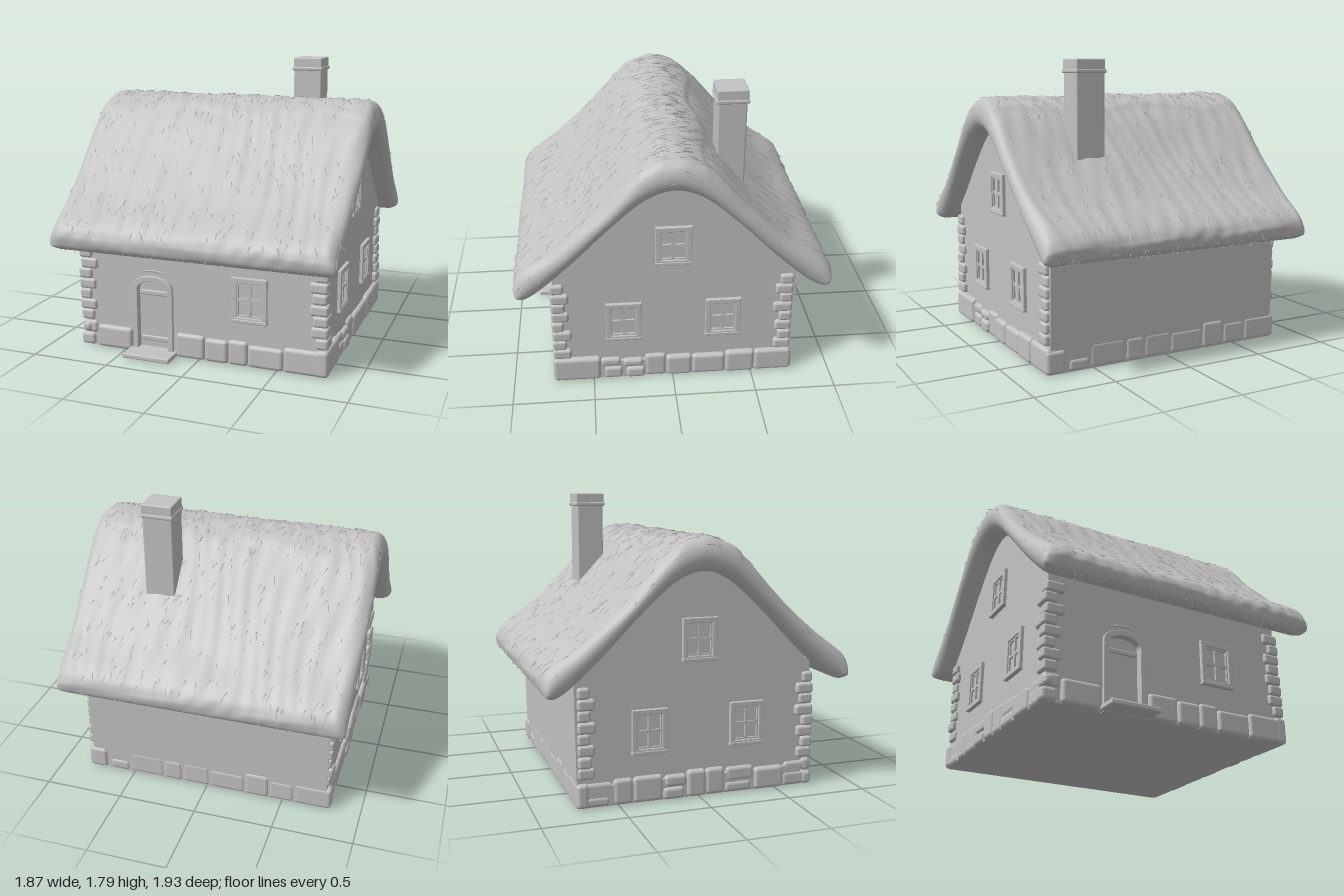
import * as THREE from 'three';
import { mergeGeometries } from 'three/addons/utils/BufferGeometryUtils.js';
import { RoundedBoxGeometry } from 'three/addons/geometries/RoundedBoxGeometry.js';

const clay = new THREE.MeshStandardMaterial({ color: 0xc2c2c2 });
clay.name = 'plain clay grey';

let seed = 7;
const rand = (a = 0, b = 1) => {
  seed = (seed * 16807) % 2147483647;
  return a + (b - a) * (seed / 2147483647);
};

function add(parent, name, geometry, x = 0, y = 0, z = 0) {
  const mesh = new THREE.Mesh(geometry, clay);
  mesh.name = name;
  mesh.position.set(x, y, z);
  parent.add(mesh);
  return mesh;
}

// Box given by its limits, with softened edges
function block(x0, x1, y0, y1, z0, z1, r = 0.008) {
  const g = new RoundedBoxGeometry(x1 - x0, y1 - y0, z1 - z0, 2, r);
  return g.translate((x0 + x1) / 2, (y0 + y1) / 2, (z0 + z1) / 2);
}

const extrude = (shape, depth, bevel = 0) => new THREE.ExtrudeGeometry(shape, {
  depth, curveSegments: 12, bevelEnabled: bevel > 0, bevelSize: bevel, bevelThickness: bevel, bevelSegments: 2,
});

const rect = (x0, x1, y0, y1, Type = THREE.Shape) => new Type([
  [x0, y0], [x1, y0], [x1, y1], [x0, y1]].map(([x, y]) => new THREE.Vector2(x, y)));

// ---- Thatch: a slab between an upper and a lower curve, both running from the front eave to the back eave
const overRidge = (half, ridge) => new THREE.CatmullRomCurve3([
  ...half.map(([z, y]) => new THREE.Vector3(0, y, z)),
  new THREE.Vector3(0, ridge, 0),
  ...half.slice().reverse().map(([z, y]) => new THREE.Vector3(0, y, -z)),
]);
const upper = overRidge([[0.962, 0.73], [0.925, 0.815], [0.7, 0.985], [0.46, 1.205], [0.23, 1.45], [0.11, 1.525]], 1.548);
const lower = overRidge([[0.915, 0.66], [0.84, 0.69], [0.62, 0.88], [0.39, 1.115], [0.2, 1.285], [0.1, 1.34]], 1.36);

// Point on the thatch; h runs from -1 (underside) to 1 (top)
function roofPoint(u, x, h) {
  const top = upper.getPoint(u), t = upper.getTangent(u);
  const n = new THREE.Vector3(0, -t.z, t.y);
  const d = Math.min(u, 1 - u);
  const round = Math.sqrt(Math.max(0, 1 - Math.max(0, 1 - d / 0.035) ** 2));
  const p = lower.getPoint(u).lerp(top, 0.5 + 0.5 * h * round);
  if (h > 0) {
    const cap = 0.19 + 0.03 * Math.sin(x * 7 + top.z * 2);
    const bump = 0.01 * (1 - THREE.MathUtils.smoothstep(Math.abs(top.z), cap, cap + 0.03))
      + 0.0025 * Math.sin(x * 61 + 3 * Math.sin(u * 17 + x * 5)) + 0.002 * Math.sin(x * 37 + u * 9)
      + 0.003 * Math.sin(x * 9 + 2 * Math.sin(u * 29));
    p.addScaledVector(n, bump * h * round);
  }
  p.x = x * (0.97 + 0.03 * round) * (0.982 + 0.024 * THREE.MathUtils.smoothstep(p.y, 0.7, 1.4));
  return { p, t, n };
}

function thatchGeometry() {
  const section = [], X = 0.92, r = 0.075, N = 70, C = 12;
  for (let i = 0; i <= N; i++) section.push([(X - r) * (2 * i / N - 1), 1]);
  for (let i = 1; i < C; i++) section.push([X - r + r * Math.sin(Math.PI * i / C), Math.cos(Math.PI * i / C)]);
  for (let i = 0; i <= N; i++) section.push([(X - r) * (1 - 2 * i / N), -1]);
  for (let i = 1; i < C; i++) section.push([-X + r - r * Math.sin(Math.PI * i / C), -Math.cos(Math.PI * i / C)]);
  const rows = 120, cols = section.length, pos = [], index = [];
  for (let i = 0; i <= rows; i++) {
    const u = 0.5 - 0.5 * Math.cos(Math.PI * i / rows);
    for (const [x, h] of section) pos.push(...roofPoint(u, x, h).p.toArray());
  }
  for (let i = 0; i < rows; i++) for (let j = 0; j < cols; j++) {
    const k = (j + 1) % cols, a = i * cols + j, b = i * cols + k;
    index.push(a, b, a + cols, b, b + cols, a + cols);
  }
  const g = new THREE.BufferGeometry();
  g.setAttribute('position', new THREE.Float32BufferAttribute(pos, 3));
  g.setIndex(index);
  g.computeVertexNormals();
  return g;
}

// Loose straws lying down the slope
function strawGeometry() {
  const straws = [], up = new THREE.Vector3(0, 1, 0);
  const straw = (u, x, h, length, lift) => {
    const { p, t, n } = roofPoint(u, x, h);
    const dir = t.clone().multiplyScalar(u < 0.5 ? -1 : 1);
    dir.x += rand(-0.2, 0.6);
    dir.addScaledVector(n, lift).normalize();
    const g = new THREE.ConeGeometry(0.0045, length, 3, 1, true);
    g.applyQuaternion(new THREE.Quaternion().setFromUnitVectors(up, dir));
    p.addScaledVector(dir, length * 0.3);
    straws.push(g.translate(p.x, p.y, p.z));
  };
  for (let i = 0; i < 700; i++) straw(rand(0.07, 0.93), rand(-0.86, 0.86), 1, rand(0.04, 0.08), rand(0, 0.08));
  for (let i = 0; i < 120; i++) straw(rand(0.42, 0.58), rand(-0.84, 0.84), 1, rand(0.05, 0.09), rand(0.02, 0.12));
  for (let i = 0; i < 420; i++) {
    const u = rand(0.004, 0.04);
    straw(i % 2 ? u : 1 - u, rand(-0.87, 0.87), rand(-0.9, 0.9), rand(0.02, 0.04), 0);
  }
  for (let i = 0; i < 240; i++) straw(rand(0.06, 0.94), (i % 2 ? 1 : -1) * rand(0.895, 0.915), rand(-0.3, 0.6), rand(0.03, 0.06), 0);
  return mergeGeometries(straws);
}

// ---- Window facing +z, its origin at the centre on the wall
function makeWindow(name, w, h) {
  const win = new THREE.Group();
  win.name = name;
  const a = w / 2, b = h / 2, f = 0.024;
  const frame = rect(-a, a, -b, b);
  frame.holes.push(rect(-a + f, a - f, -b + f, b - f, THREE.Path));
  add(win, 'windowFrame', extrude(frame, 0.03, 0.004), 0, 0, -0.012);
  const sash = rect(-a + f, a - f, -b + f, b - f);
  for (const sx of [-1, 1]) for (const sy of [-1, 1]) {
    const cx = sx * (a - f) * 0.48, cy = sy * (b - f) * 0.48, hw = (a - f) * 0.36, hh = (b - f) * 0.39;
    sash.holes.push(rect(cx - hw, cx + hw, cy - hh, cy + hh, THREE.Path));
  }
  add(win, 'windowSash', extrude(sash, 0.022), 0, 0, -0.01);
  add(win, 'windowSill', block(-a - 0.006, a + 0.006, -b - 0.006, -b + 0.016, -0.01, 0.026, 0.005));
  return win;
}

// Arched outline standing on y = 0
function arch(a, side, top, Type = THREE.Shape, x = 0) {
  const s = new Type(), c = side + (top - side) / 0.75;
  s.moveTo(x - a, 0);
  s.lineTo(x + a, 0);
  s.lineTo(x + a, side);
  s.bezierCurveTo(x + a * 0.9, c, x - a * 0.9, c, x - a, side);
  s.lineTo(x - a, 0);
  return s;
}

// ---- Footing stones laid from a to b; place() turns (along, height, outward) limits into a block
function stoneRow(a, b, place) {
  const out = [];
  for (let s = a; s < b - 0.02;) {
    let e = s + rand(0.12, 0.25);
    if (b - e < 0.09) e = b;
    const top = rand(0.135, 0.168), d = rand(-0.008, 0.006);
    if (rand() < 0.35) {
      const m = rand(0.06, 0.09);
      out.push(place(s, e - 0.02, 0, m, d), place(s + 0.01, e, m, top, d - 0.006));
    } else out.push(place(s, e, 0, top, d));
    s = e;
  }
  return out;
}

export function createModel() {
  const house = new THREE.Group();
  house.name = 'thatchedCottage';

  // Walls with gables, and a front wall skin with the doorway cut through it
  const doorX = -0.305;
  const wall = new THREE.Shape([
    [0.69, 0], [0.69, 0.84], [0.46, 1.065], [0.23, 1.29], [0.1, 1.37],
    [-0.1, 1.37], [-0.23, 1.29], [-0.46, 1.065], [-0.76, 0.8], [-0.745, 0],
  ].map(([z, y]) => new THREE.Vector2(-z, y)));
  add(house, 'walls', extrude(wall, 1.57).translate(0, 0, -0.785).rotateY(Math.PI / 2));
  const skin = rect(-0.785, 0.785, 0, 0.8);
  skin.holes.push(arch(0.108, 0.415, 0.475, THREE.Path, doorX));
  // The hole stops just above the ground so the skin stays one closed outline
  skin.holes[0].curves.forEach((c) => [c.v1, c.v2].forEach((v) => { if (v && v.y === 0) v.y = 0.002; }));
  add(house, 'frontWall', extrude(skin, 0.04), 0, 0, 0.688);

  // Footing and its stones
  add(house, 'footing', block(-0.8, 0.8, 0, 0.13, -0.745, 0.68, 0.01));
  const stones = [];
  const alongX = (sz) => (s, e, y0, y1, d) => sz > 0
    ? block(s, e, y0, y1, 0.68, 0.75 + d, 0.024) : block(s, e, y0, y1, -0.756 - d, -0.68, 0.024);
  const alongZ = (sx) => (s, e, y0, y1, d) => sx > 0
    ? block(0.74, 0.815 + d, y0, y1, s, e, 0.024) : block(-0.815 - d, -0.74, y0, y1, s, e, 0.024);
  stones.push(...stoneRow(-0.815, -0.45, alongX(1)), ...stoneRow(-0.15, 0.815, alongX(1)),
    ...stoneRow(-0.815, 0.815, alongX(-1)));
  for (const sx of [1, -1]) stones.push(...stoneRow(-0.752, 0.752, alongZ(sx)));
  add(house, 'footingStones', mergeGeometries(stones));

  // Corner stones, alternately long and short; the back wall covers theirs from behind
  const quoins = [];
  for (const sx of [1, -1]) for (const sz of [1, -1]) for (let i = 0; i < 8; i++) {
    const y = 0.17 + i * 0.068, long = i % 2;
    const w = (long ? 0.115 : 0.085) + rand(-0.01, 0.01), d = (long ? 0.08 : 0.11) + rand(-0.01, 0.01);
    const zOut = sz > 0 ? 0.746 : 0.742, xOut = 0.81 + rand(-0.008, 0.008);
    const g = new RoundedBoxGeometry(w, 0.068, d, 2, 0.018);
    quoins.push(g.translate(sx * (xOut - w / 2), y + 0.034, sz * (zOut - d / 2)));
  }
  add(house, 'cornerStones', mergeGeometries(quoins));

  // Recessed door, frame, hood and step
  const door = new THREE.Group();
  door.name = 'door';
  door.position.set(doorX, 0, 0.69);
  house.add(door);
  const frame = arch(0.132, 0.43, 0.5);
  frame.holes.push(arch(0.106, 0.415, 0.472, THREE.Path));
  add(door, 'doorFrame', extrude(frame, 0.04, 0.004), 0, 0, 0.014);
  add(door, 'doorLeaf', extrude(arch(0.108, 0.415, 0.475), 0.01));
  for (const y of [0.085, 0.385]) add(door, 'doorRail', block(-0.1, 0.1, y - 0.016, y + 0.016, 0, 0.02));
  add(door, 'doorHood', new THREE.TubeGeometry(new THREE.QuadraticBezierCurve3(
    new THREE.Vector3(-0.07, 0.525, 0.036), new THREE.Vector3(0, 0.545, 0.04), new THREE.Vector3(0.07, 0.525, 0.036)), 10, 0.007, 6));
  add(door, 'doorStep', block(-0.155, 0.16, 0, 0.03, 0, 0.18));

  // Windows: one beside the door, three in each gable
  const front = makeWindow('frontWindow', 0.215, 0.27);
  front.position.set(0.33, 0.42, 0.728);
  house.add(front);
  for (const sx of [1, -1]) for (const [z, y, h] of [[0.305, 0.425, 0.26], [-0.31, 0.425, 0.26], [0, 0.955, 0.25]]) {
    const win = makeWindow('gableWindow', 0.21, h);
    win.position.set(sx * 0.785, y, z);
    win.rotation.y = sx * Math.PI / 2;
    house.add(win);
  }

  // Thatched roof
  add(house, 'thatch', thatchGeometry());
  add(house, 'looseStraw', strawGeometry());

  // Chimney
  const chimney = new THREE.Group();
  chimney.name = 'chimney';
  house.add(chimney);
  add(chimney, 'chimneyStack', block(0.28, 0.47, 0.95, 1.72, -0.465, -0.29, 0.01));
  add(chimney, 'chimneyBand', block(0.272, 0.478, 1.705, 1.73, -0.478, -0.278));
  add(chimney, 'chimneyCap', block(0.278, 0.472, 1.72, 1.79, -0.472, -0.284));
  return house;
}
